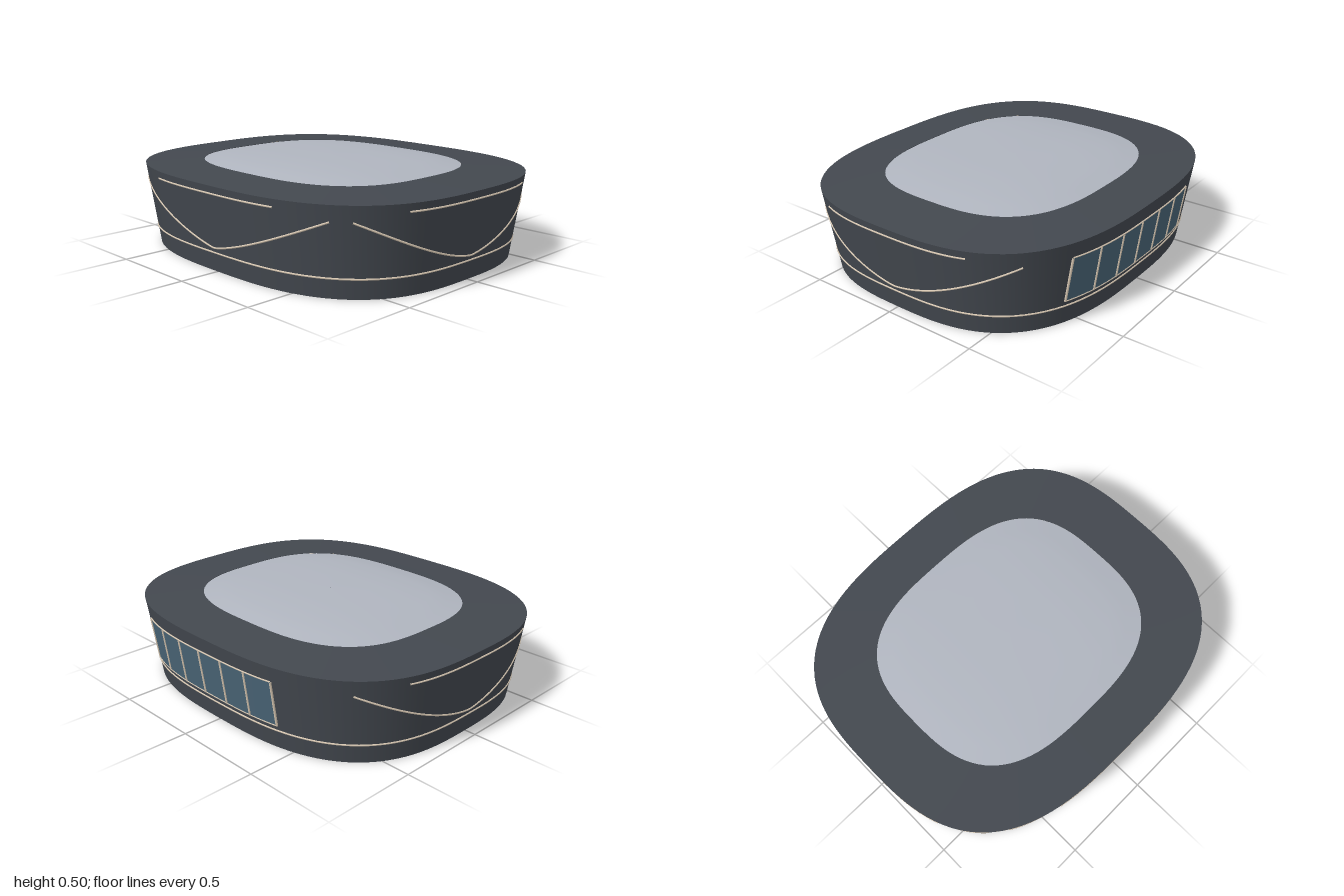
import * as THREE from 'three';

const N = 2.9;          // squareness of the rounded plan
const WALL_H = 0.45;
const SEG = 128;

const mat = (color) => new THREE.MeshStandardMaterial({ color, side: THREE.DoubleSide });

// half width and half depth of the flared wall at height y
const halfX = (y) => 0.94 + 0.06 * y / WALL_H;
const halfZ = (y) => 0.785 + 0.06 * y / WALL_H;

// point on a superellipse at angle t
function plan(a, b, y, t) {
  const c = Math.cos(t), s = Math.sin(t);
  const r = Math.pow(Math.abs(c) ** N + Math.abs(s) ** N, -1 / N);
  return new THREE.Vector3(a * r * c, y, b * r * s);
}

// points on the wall: front/back by x, sides by z
const other = (u) => Math.pow(Math.max(0, 1 - Math.abs(u) ** N), 1 / N);
const onFace = (x, y, side, off = 0) =>
  new THREE.Vector3(x, y, side * (halfZ(y) * other(x / halfX(y)) + off));
const onFlank = (z, y, side, off = 0) =>
  new THREE.Vector3(side * (halfX(y) * other(z / halfZ(y)) + off), y, z);

// surface through rows of points
function surface(rows, closed) {
  const n = rows[0].length, index = [];
  for (let i = 0; i < rows.length - 1; i++) {
    for (let j = 0; j < (closed ? n : n - 1); j++) {
      const k = (j + 1) % n, a = i * n + j, b = i * n + k, c = a + n, d = b + n;
      index.push(a, c, b, b, c, d);
    }
  }
  const g = new THREE.BufferGeometry().setFromPoints(rows.flat());
  g.setIndex(index);
  g.computeVertexNormals();
  return g;
}

// stacked plan outlines given as [halfX, halfZ, y]
const loft = (levels) => surface(levels.map(([a, b, y]) =>
  Array.from({ length: SEG }, (_, j) => plan(a, b, y, j / SEG * Math.PI * 2))), true);

export function createModel() {
  const model = new THREE.Group();
  const shell = mat(0x43484f), glass = mat(0xb0b5bf), trim = mat(0xd9c9b4), blue = mat(0x4a6577);

  const add = (name, geometry, material, parent = model) => {
    const m = new THREE.Mesh(geometry, material);
    m.name = name;
    parent.add(m);
    return m;
  };
  const strip = (name, pts, parent = model, closed = false, r = 0.005) =>
    add(name, new THREE.TubeGeometry(new THREE.CatmullRomCurve3(pts, closed),
      closed ? 160 : pts.length * 2, r, 6, closed), trim, parent);
  const sample = (n, from, to, f) =>
    Array.from({ length: n + 1 }, (_, i) => f(from + (to - from) * i / n));

  // flared outer wall, open below
  add('outerWall', loft([0, 0.225, WALL_H].map((y) => [halfX(y), halfZ(y), y]).reverse()), shell);

  // roof ring with an opening
  add('roofRing', loft([[0.68, 0.575, 0.465], [0.84, 0.71, 0.457], [1, 0.845, 0.45]]), shell);

  // shallow dome over the opening
  const dome = [[0.001, 0.5], [0.3, 0.499], [0.5, 0.496], [0.75, 0.487], [0.88, 0.475], [1, 0.463]];
  add('domeRoof', loft(dome.map(([s, y]) => [0.68 * s, 0.575 * s, y])), glass);

  // band running right round the base
  strip('baseBand', sample(79, 0, Math.PI * 2 * 79 / 80,
    (t) => plan(halfX(0.1), halfZ(0.1), 0.1, t)), model, true);

  // upper line and swooping line on the front and both flanks
  const faces = [
    ['front', onFace, 1, 0.45, 0.71, 1.28],
    ['left', onFlank, 1, 0.44, 0.645, 1.45],
    ['right', onFlank, -1, 0.44, 0.645, 1.45],
  ];
  for (const [name, at, side, lineHalf, swoopHalf, power] of faces) {
    strip(name + 'UpperLine', sample(16, -lineHalf, lineHalf, (u) => at(u, 0.41, side)));
    strip(name + 'Swoop', sample(40, -swoopHalf, swoopHalf,
      (u) => at(u, 0.125 + 0.245 * Math.abs(u / swoopHalf) ** power, side)));
  }

  // glazed band at the back: panes, posts and rails
  const windows = new THREE.Group();
  windows.name = 'backWindows';
  model.add(windows);
  const x0 = -0.43, x1 = 0.585, panes = 6, low = 0.13, high = 0.37;
  const step = (x1 - x0) / panes;
  for (let i = 0; i <= panes; i++) {
    const x = x0 + i * step;
    strip('windowPost', [onFace(x, low, -1, 0.004), onFace(x, high, -1, 0.004)], windows, false, 0.006);
    if (i < panes) {
      add('windowPane', surface([high, low].map((y) =>
        sample(6, x + step, x, (u) => onFace(u, y, -1, 0.004))), false), blue, windows);
    }
  }
  for (const y of [low, high]) {
    strip('windowRail', sample(24, x0, x1, (u) => onFace(u, y, -1, 0.003)), windows, false, 0.004);
  }
  return model;
}
